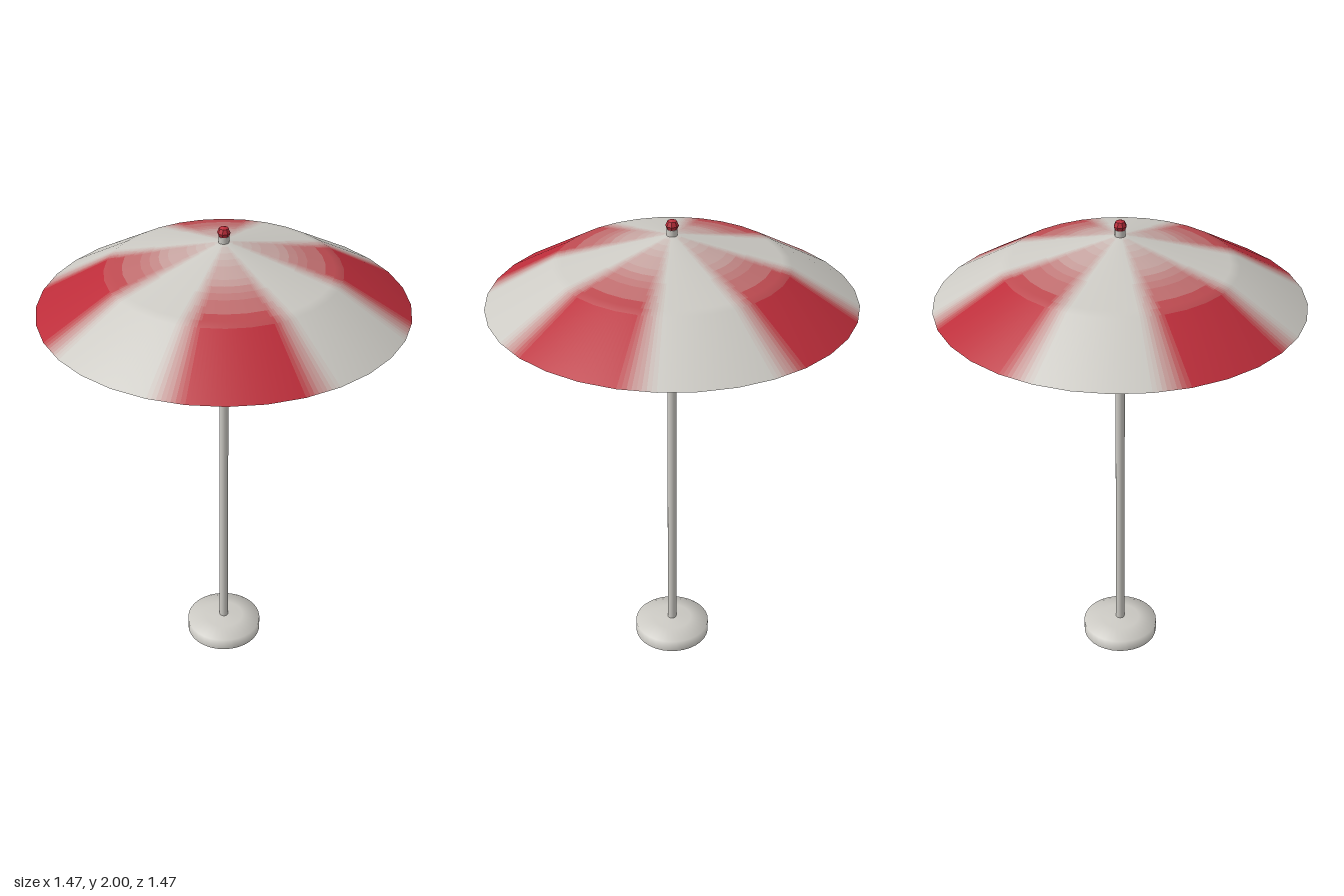
import * as THREE from 'three';

const GREY = 0xcccac4, RED = 0xbc2d3a;
const SIDES = 32, SPLIT = 8, COLS = SIDES * SPLIT, TONES = 14;
const SHOULDER = 0.463;

function addMesh(parent, name, geometry, color = GREY, side = THREE.FrontSide) {
  const mesh = new THREE.Mesh(geometry, new THREE.MeshStandardMaterial({ color, side }));
  mesh.name = name;
  parent.add(mesh);
  return mesh;
}

// Points from [r0, y0] towards [r1, y1], without the last one
const steps = (r0, y0, r1, y1, count) => Array.from({ length: count }, (_, i) =>
  [r0 + (r1 - r0) * i / count, y0 + (y1 - y0) * i / count]);

// Canopy stripes: four red panels, softly blended into the pale ones and fading towards the tip
function createCanopy() {
  const canopy = new THREE.Group();
  canopy.name = 'canopy';

  // Closed profile: tip, shoulder, eave, lip, then back up the underside
  const profile = [
    ...steps(0, 1.94, SHOULDER, 1.817, 13),
    [SHOULDER, 1.817], [0.734, 1.66], [0.713, 1.652],
    ...steps(0.45, 1.795, 0, 1.915, 13),
    [0, 1.915],
  ];
  const rows = profile.length - 1;

  const positions = [];
  for (const [r, y] of profile) {
    for (let c = 0; c < COLS; c++) {
      const a = c / COLS * Math.PI * 2;
      positions.push(r * Math.sin(a), y, -r * Math.cos(a));
    }
  }

  // Sort the cells of the grid by how red they are
  const cells = Array.from({ length: TONES }, () => []);
  for (let row = 0; row < rows; row++) {
    const fade = Math.min(1, (profile[row][0] + profile[row + 1][0]) / 2 / SHOULDER);
    for (let c = 0; c < COLS; c++) {
      const u = ((c + 0.5) / SPLIT) % 8;
      const red = THREE.MathUtils.clamp(Math.min(u, 5 - u), 0, 1) * fade;
      const a = row * COLS + c, b = row * COLS + (c + 1) % COLS;
      const d = a + COLS, e = b + COLS;
      const cell = cells[Math.round(red * (TONES - 1))];
      if (row > 0) cell.push(a, b, e);
      if (row < rows - 1) cell.push(a, e, d);
      else cell.push();
    }
  }

  // Smooth normals over the whole cloth, straight up and down at the two tips
  const cloth = new THREE.BufferGeometry();
  cloth.setAttribute('position', new THREE.Float32BufferAttribute(positions, 3));
  cloth.setIndex(cells.flat());
  cloth.computeVertexNormals();
  const { position, normal } = cloth.attributes;
  for (let c = 0; c < COLS; c++) {
    normal.setXYZ(c, 0, 1, 0);
    normal.setXYZ(rows * COLS + c, 0, -1, 0);
  }

  // Pull the in-between columns onto straight edges of a 32-sided outline
  const half = Math.PI / SIDES;
  for (let i = 0; i < position.count; i++) {
    const k = Math.cos(half) / Math.cos((i % SPLIT) / SPLIT * 2 * half - half);
    position.setX(i, position.getX(i) * k);
    position.setZ(i, position.getZ(i) * k);
  }

  cells.forEach((index, tone) => {
    const geometry = new THREE.BufferGeometry();
    geometry.setAttribute('position', position);
    geometry.setAttribute('normal', normal);
    geometry.setIndex(index);
    const color = new THREE.Color(GREY).lerp(new THREE.Color(RED), tone / (TONES - 1));
    const name = tone === 0 ? 'palePanels' : tone === TONES - 1 ? 'redPanels' : 'blendedPanels' + tone;
    addMesh(canopy, name, geometry, color);
  });
  return canopy;
}

export function createModel() {
  const model = new THREE.Group();
  model.name = 'parasol';

  // Hollow foot with an upright rim and a gently domed cover
  const foot = [[0.163, 0], [0.163, 0.053], [0.085, 0.067], [0, 0.073]];
  addMesh(model, 'base', new THREE.LatheGeometry(
    foot.map(([r, y]) => new THREE.Vector2(r, y)), SIDES), GREY, THREE.DoubleSide);

  // Pole
  const pole = addMesh(model, 'pole', new THREE.CylinderGeometry(0.019, 0.019, 1.87, 16));
  pole.position.y = 0.058 + 1.87 / 2;

  model.add(createCanopy());

  // Finial: short collar and a faceted knob
  const collar = addMesh(model, 'finialCollar', new THREE.CylinderGeometry(0.021, 0.021, 0.03, 16));
  collar.position.y = 1.945;
  const knob = addMesh(model, 'finialKnob', new THREE.SphereGeometry(0.026, 8, 4), RED);
  knob.material.flatShading = true;
  knob.position.y = 1.974;

  return model;
}
